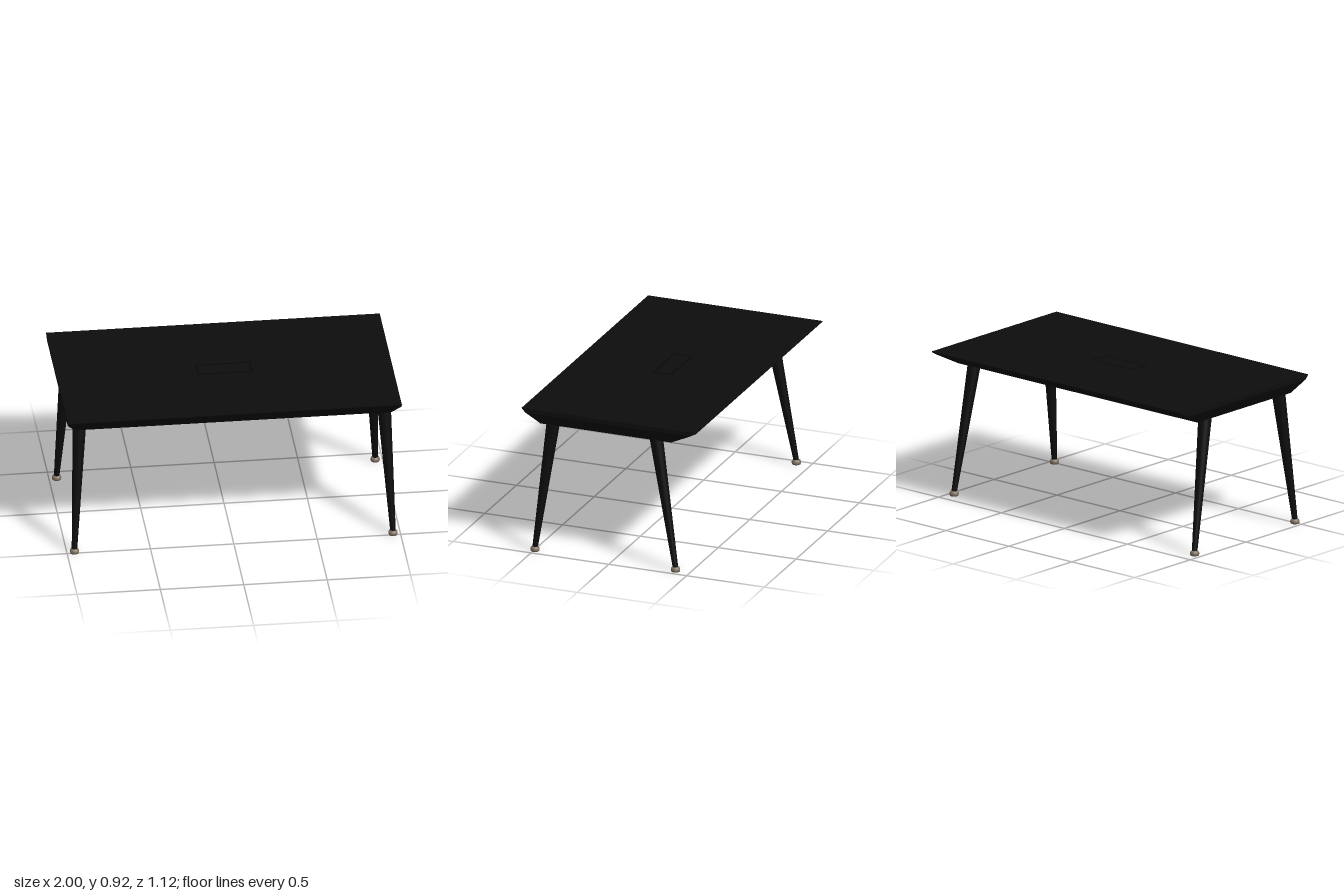
import * as THREE from 'three';

const mat = (name, color, side = THREE.FrontSide) => {
  const m = new THREE.MeshStandardMaterial({ color, side });
  m.name = name;
  return m;
};

export function createModel() {
  const black = mat('black lacquer', 0x0d0d0d);
  const seam = mat('seam black', 0x060606);
  const charcoal = mat('charcoal plastic', 0x2a2728);
  const metal = mat('warm metal', 0x7d705f);
  const table = new THREE.Group();
  table.name = 'conferenceTable';

  const add = (name, geo, material, x = 0, y = 0, z = 0) => {
    const m = new THREE.Mesh(geo, material);
    m.name = name;
    m.position.set(x, y, z);
    table.add(m);
    return m;
  };

  // Solid lofted through rectangular rings: [y, half width, front z, back z], bottom to top
  const loft = (rings) => {
    const corners = rings.map(([y, w, f, b]) => [[-w, y, f], [w, y, f], [w, y, b], [-w, y, b]]);
    const pos = [];
    const quad = (a, b, c, d) => pos.push(...a, ...b, ...c, ...a, ...c, ...d);
    for (let i = 0; i < corners.length - 1; i++) {
      const lo = corners[i], hi = corners[i + 1];
      for (let k = 0; k < 4; k++) {
        const n = (k + 1) % 4;
        quad(lo[k], lo[n], hi[n], hi[k]);
      }
    }
    quad(...corners[corners.length - 1]);
    quad(...corners[0].slice().reverse());
    const g = new THREE.BufferGeometry();
    g.setAttribute('position', new THREE.Float32BufferAttribute(pos, 3));
    g.computeVertexNormals();
    return g;
  };

  // Tabletop with an undercut rim, deeper at the back
  add('tabletop', loft([
    [0.815, 0.95, 0.46, -0.38],
    [0.89, 1, 0.535, -0.52],
    [0.912, 1, 0.558, -0.56],
    [0.918, 1, 0.56, -0.56],
  ]), black);

  // Cable hatch: thin seam around a lid with a centre split
  const hatch = new THREE.Shape([[-0.165, -0.06], [0.165, -0.06], [0.165, 0.06], [-0.165, 0.06]]
    .map(([x, y]) => new THREE.Vector2(x, y)));
  hatch.holes.push(new THREE.Path([[-0.157, -0.052], [-0.157, 0.052], [0.157, 0.052], [0.157, -0.052]]
    .map(([x, y]) => new THREE.Vector2(x, y))));
  const hatchGeo = new THREE.ExtrudeGeometry(hatch, { depth: 0.002, bevelEnabled: false });
  hatchGeo.rotateX(-Math.PI / 2);
  add('hatchSeam', hatchGeo, seam, 0, 0.918, -0.003);
  add('hatchLid', new THREE.BoxGeometry(0.31, 0.001, 0.1), black, 0, 0.9185, -0.003);

  // Tapered leg leaning from its top to its foot, with level ends
  const legGeo = (top, foot) => {
    const y0 = 0.02, y1 = 0.83;
    const g = new THREE.CylinderGeometry(0.041, 0.0165, y1 - y0, 24);
    g.translate(0, (y0 + y1) / 2, 0);
    const p = g.attributes.position;
    for (let i = 0; i < p.count; i++) {
      const t = (p.getY(i) - y0) / (y1 - y0);
      p.setX(i, p.getX(i) + foot[0] + (top[0] - foot[0]) * t);
      p.setZ(i, p.getZ(i) + foot[1] + (top[1] - foot[1]) * t);
    }
    g.computeVertexNormals();
    return g;
  };
  const footGeo = new THREE.LatheGeometry(
    [[0, 0], [0.025, 0], [0.028, 0.008], [0.028, 0.016], [0.024, 0.025], [0.016, 0.03], [0, 0.031]]
      .map(([r, y]) => new THREE.Vector2(r, y)), 24);

  // Underside mounting plate, narrowing downwards
  const plateGeo = loft([
    [-0.012, 0.08, 0.027, -0.027],
    [-0.006, 0.084, 0.038, -0.038],
    [0.002, 0.084, 0.038, -0.038],
  ]);

  const ends = [
    { name: 'front', top: 0.39, foot: 0.492, plate: 0.303 },
    { name: 'back', top: -0.268, foot: -0.411, plate: -0.192 },
  ];
  for (const e of ends) {
    for (const s of [1, -1]) {
      const label = e.name + (s > 0 ? 'Left' : 'Right');
      add(label + 'Leg', legGeo([s * 0.913, e.top], [s * 0.955, e.foot]), black);
      add(label + 'Foot', footGeo, metal, s * 0.955, 0, e.foot);
      add(label + 'MountingPlate', plateGeo, metal, s * 0.795, 0.815, e.plate);
    }
  }

  // Cable holders under the top
  const holder = new THREE.Shape([[-0.17, 0.1], [-0.35, 0.105], [-0.38, 0.05], [-0.35, -0.01],
    [-0.29, -0.085], [-0.22, -0.05]].map(([x, z]) => new THREE.Vector2(x, z)));
  const holderGeo = new THREE.ExtrudeGeometry(holder, { depth: 0.014, bevelEnabled: false });
  holderGeo.rotateX(Math.PI / 2);
  add('rightCableHolder', holderGeo, charcoal, 0, 0.816, 0);
  const mirrored = new THREE.Shape(holder.getPoints().map((p) => new THREE.Vector2(-p.x, p.y)));
  const mirroredGeo = new THREE.ExtrudeGeometry(mirrored, { depth: 0.014, bevelEnabled: false });
  mirroredGeo.rotateX(Math.PI / 2);
  add('leftCableHolder', mirroredGeo, black, 0, 0.816, 0);

  return table;
}
